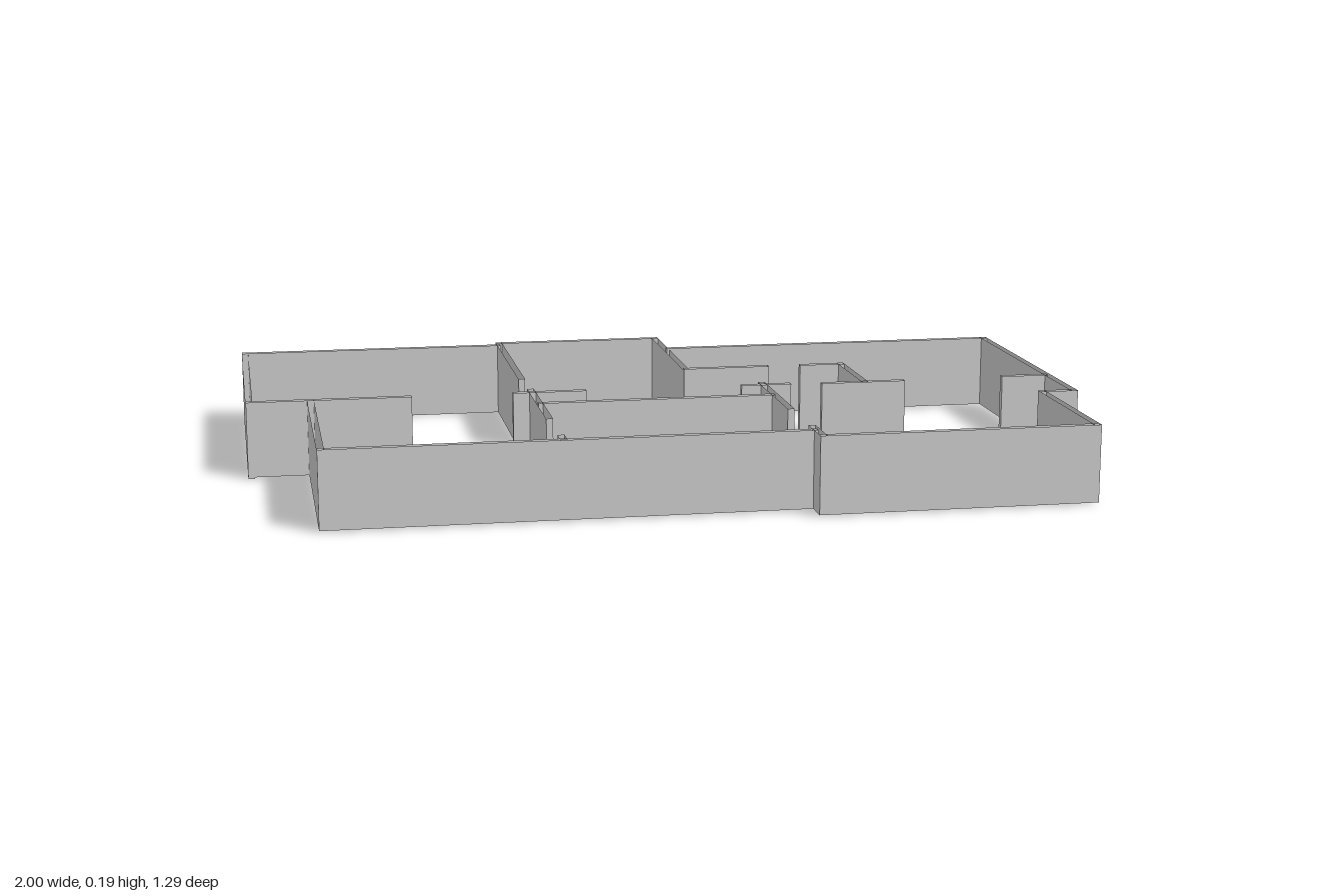
import * as THREE from 'three';

const HEIGHT = 0.183;
const THICK = 0.016;

const material = new THREE.MeshStandardMaterial({ color: 0xcccccc, flatShading: true, side: THREE.DoubleSide });

// Axis-aligned wall, hollow and open at top and bottom, given by its plan rectangle
function wall(name, xa, za, xb, zb) {
  const geometry = new THREE.BoxGeometry(Math.abs(xb - xa), HEIGHT, Math.abs(zb - za));
  const index = Array.from(geometry.index.array);
  index.splice(12, 12); // drop the top and bottom faces
  geometry.setIndex(index);
  geometry.clearGroups();
  const mesh = new THREE.Mesh(geometry, material);
  mesh.name = name;
  mesh.position.set((xa + xb) / 2, HEIGHT / 2, (za + zb) / 2);
  return mesh;
}

// Wall running along x, centred on z
const alongX = (name, z, x0, x1) => wall(name, x0, z - THICK / 2, x1, z + THICK / 2);
// Wall running along z, centred on x
const alongZ = (name, x, z0, z1) => wall(name, x - THICK / 2, z0, x + THICK / 2, z1);

function wallGroup(name, baseY, ...walls) {
  const group = new THREE.Group();
  group.name = name;
  group.position.y = baseY;
  group.add(...walls);
  return group;
}

export function createModel() {
  const model = new THREE.Group();
  model.name = 'floorPlanWalls';

  // Back and left shell, sitting slightly lower than the rest
  const back = wallGroup('backWalls', 0,
    alongZ('leftBackWall', -0.992, -0.615, 0.055),
    alongX('backWall', -0.607, -1, -0.315),
    alongX('backRoomWall', -0.637, -0.323, 0.121),
    alongZ('backRoomLeftWall', -0.315, -0.645, -0.135),
    alongZ('backRoomRightWall', 0.113, -0.645, -0.175),
  );

  // Front and right shell
  const outer = wallGroup('outerWalls', 0.004,
    alongX('backRecessWall', -0.462, 0.113, 1),
    alongZ('rightHandWall', 0.992, -0.47, 0.265),
    alongX('frontNotchWall', 0.257, 0.904, 1),
    alongZ('frontNotchSideWall', 0.912, 0.249, 0.645),
    alongX('frontBayWall', 0.637, 0.26, 0.92),
    alongZ('frontBaySideWall', 0.268, 0.53, 0.645),
    alongX('frontWall', 0.577, -0.855, 0.27),
    alongZ('leftFrontWall', -0.847, 0.04, 0.585),
  );

  // Room dividers
  const inner = wallGroup('innerWalls', 0.004,
    alongX('leftDivider', 0.047, -1, -0.605),
    alongX('backRoomReturn', -0.175, 0.105, 0.326),
    alongX('corridorWall', 0.178, -0.315, 0.262),
    alongZ('corridorLeftWall', -0.312, 0.01, 0.358),
    alongX('corridorLeftCross', 0.048, -0.36, -0.18),
    alongZ('corridorRightWall', 0.262, 0.03, 0.35),
    alongX('corridorRightCross', 0.056, 0.205, 0.33),
    alongX('closetBackWall', -0.173, 0.408, 0.525),
    alongZ('closetSideWall', 0.517, -0.181, 0.068),
    alongX('closetFrontWall', 0.066, 0.406, 0.618),
    alongX('rightDivider', 0.06, 0.872, 0.992),
    alongZ('frontStub', -0.31, 0.53, 0.575),
  );

  model.add(back, outer, inner);
  return model;
}
